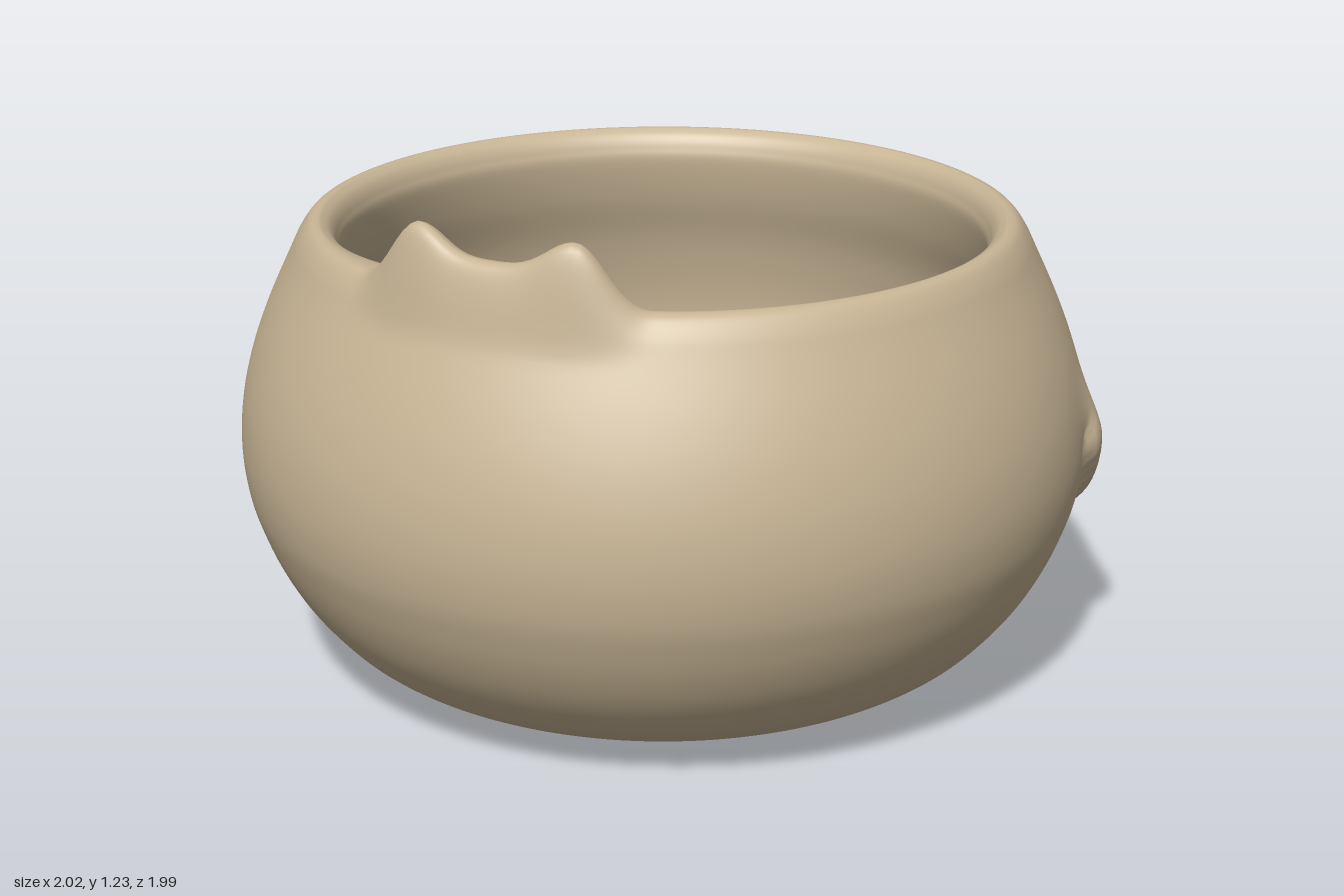
import * as THREE from 'three';

const { smoothstep } = THREE.MathUtils;
const bell = (v, centre, width) => Math.exp(-(((v - centre) / width) ** 2));
const toVectors = (list) => list.map(([x, y]) => new THREE.Vector2(x, y));

// Wall section (radius, height): up the outside to the rim, then down the inside
const OUTSIDE = [
  [0, 0], [0.42, 0], [0.6, 0.018], [0.7, 0.055], [0.78, 0.105], [0.84, 0.165], [0.89, 0.23],
  [0.93, 0.3], [0.96, 0.37], [0.985, 0.45], [0.997, 0.55], [0.99, 0.66], [0.965, 0.77],
  [0.925, 0.88], [0.87, 1.0], [0.848, 1.045], [0.825, 1.076], [0.803, 1.085],
];
const INSIDE = [
  [0.788, 1.08], [0.772, 1.066], [0.76, 1.04], [0.755, 1.0], [0.775, 0.9], [0.82, 0.76],
  [0.85, 0.58], [0.835, 0.42], [0.75, 0.26], [0.58, 0.16], [0.35, 0.125], [0, 0.12],
];
const STEPS = 6;
const AROUND = 320;

// Curled tail centre line (angle from +x towards +z, height)
const tailPath = new THREE.SplineCurve(toVectors([
  [0.93, 0.57], [0.84, 0.46], [0.65, 0.355], [0.36, 0.3],
  [0.08, 0.35], [-0.12, 0.47], [-0.24, 0.63], [-0.29, 0.78],
]));
const tailSamples = Array.from({ length: 61 }, (_, i) => ({
  u: i / 60, p: tailPath.getPoint(i / 60), t: tailPath.getTangent(i / 60),
}));

// Tail relief: crisp along its outer edge, soft towards the flank
function tailRelief(angle, y) {
  if (angle > 1.3 || angle < -0.7 || y < 0.15 || y > 1) return 0;
  let best = Infinity, near = null;
  for (const s of tailSamples) {
    const d = Math.hypot(angle - s.p.x, y - s.p.y);
    if (d < best) { best = d; near = s; }
  }
  const cross = near.t.x * (y - near.p.y) - near.t.y * (angle - near.p.x);
  const side = smoothstep(cross / Math.max(best, 1e-4), -0.7, 0.7);
  const crisp = Math.sqrt(Math.max(0, 1 - (best / 0.075) ** 2));
  const soft = bell(best, 0, 0.11);
  const fade = 1 - smoothstep(near.u, 0.65, 1);
  return 0.04 * fade * (soft + (crisp - soft) * side);
}

// Head height above the rim: a brow with two ears (angle from -x towards +z)
function headLift(a) {
  const brow = smoothstep(a, -0.14, 0.08) * (1 - smoothstep(a, 0.56, 0.75));
  return 0.085 * brow + 0.06 * (bell(a, 0.09, 0.1) + bell(a, 0.55, 0.1));
}

// How far the face and cheeks push into the opening
function faceDepth(a) {
  return 0.18 * Math.exp(-(Math.abs((a - 0.2) / 0.48) ** 3)) + 0.02 * bell(a, 0.42, 0.08);
}

function createBodyGeometry() {
  const section = [...OUTSIDE, ...INSIDE];
  const rows = (section.length - 1) * STEPS;
  const rim = (OUTSIDE.length - 1) * STEPS;
  const edge = rim + 4 * STEPS;
  const points = new THREE.SplineCurve(toVectors(section)).getPoints(rows);
  const positions = [], indices = [];

  points.forEach((point, i) => {
    for (let j = 0; j < AROUND; j++) {
      const theta = (j / AROUND) * Math.PI * 2;
      const c = Math.cos(theta), s = Math.sin(theta);
      let r = Math.max(0, point.x), y = Math.max(0, point.y);
      const head = Math.atan2(s, -c);
      if (i <= rim) {
        // Outer wall: tail relief and back of the head
        r += tailRelief(Math.atan2(s, c), y);
        if (i > rim - 4 * STEPS) y += headLift(head) * smoothstep(y, 0.99, 1.085);
      } else {
        // Face sloping inward, then blending into the inner wall
        const across = Math.min(1, (i - rim) / (edge - rim));
        const down = i > edge ? smoothstep(y, 0.5, 1.0) : 1;
        r -= faceDepth(head) * across * down;
        y += headLift(head) * (1 - smoothstep(across, 0, 0.8));
        // Hollow cheeks with a raised muzzle between them
        const middle = Math.sin(Math.PI * across);
        y -= 0.025 * middle * (bell(head, 0.14, 0.12) + bell(head, 0.5, 0.12));
        y += 0.025 * bell(across, 0.8, 0.25) * bell(head, 0.34, 0.09) * down;
      }
      positions.push(r * c, y, r * s);
    }
  });

  for (let i = 0; i < rows; i++) {
    for (let j = 0; j < AROUND; j++) {
      const k = (j + 1) % AROUND;
      const a = i * AROUND + j, b = a + AROUND;
      const d = i * AROUND + k, e = d + AROUND;
      indices.push(a, b, d, b, e, d);
    }
  }

  const geometry = new THREE.BufferGeometry();
  geometry.setAttribute('position', new THREE.Float32BufferAttribute(positions, 3));
  geometry.setIndex(indices);
  geometry.computeVertexNormals();
  return geometry;
}

export function createModel() {
  const clay = new THREE.MeshStandardMaterial({ color: 0xc8b595 });
  clay.name = 'sand clay';

  const body = new THREE.Mesh(createBodyGeometry(), clay);
  body.name = 'catBowlBody';

  const model = new THREE.Group();
  model.name = 'catBowl';
  model.add(body);
  return model;
}
